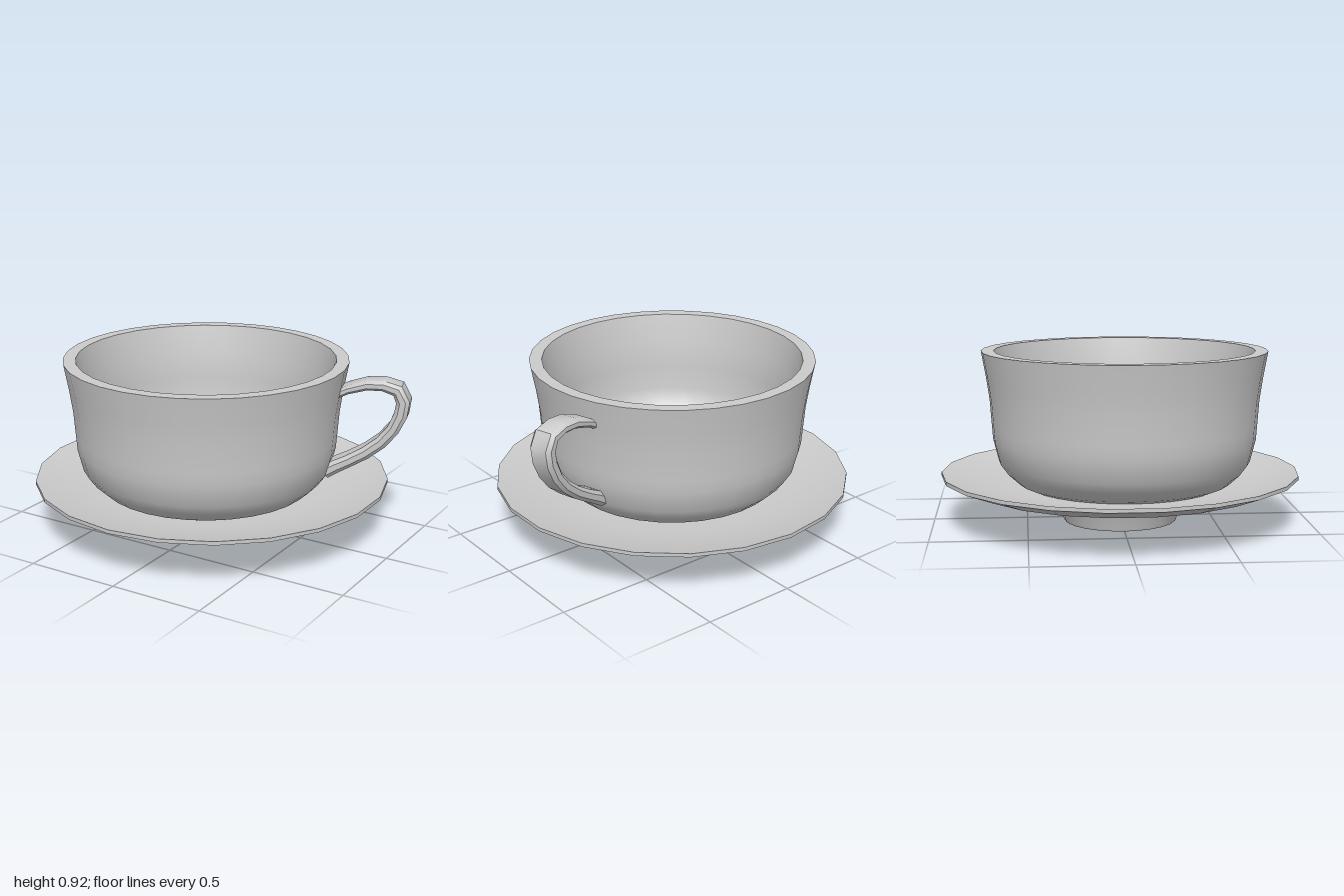
import * as THREE from 'three';
import { toCreasedNormals } from 'three/addons/utils/BufferGeometryUtils.js';

const material = new THREE.MeshStandardMaterial({ color: 0xcccccc });

function part(name, geometry) {
  const mesh = new THREE.Mesh(toCreasedNormals(geometry, 0.7), material);
  mesh.name = name;
  return mesh;
}

// Profile of [radius, height] pairs, running from the underside up, over the rim and back in
function turned(name, profile, segments) {
  const points = profile.map(([r, y]) => new THREE.Vector2(r, y));
  return part(name, new THREE.LatheGeometry(points, segments));
}

// Flat rounded strap swept along a path in the xy plane; path holds [x, y, thickness]
function strap(path, width) {
  const section = [[0.5, 0.22], [0.36, 0.5], [-0.36, 0.5], [-0.5, 0.22],
    [-0.5, -0.22], [-0.36, -0.5], [0.36, -0.5], [0.5, -0.22]];
  const n = section.length;
  const positions = [];
  const index = [];
  path.forEach(([x, y, thickness], i) => {
    const a = path[Math.max(i - 1, 0)];
    const b = path[Math.min(i + 1, path.length - 1)];
    const tangent = new THREE.Vector2(b[0] - a[0], b[1] - a[1]).normalize();
    for (const [u, v] of section) {
      const t = v * thickness;
      positions.push(x - tangent.y * t, y + tangent.x * t, u * width);
    }
    if (i === 0) return;
    for (let j = 0; j < n; j++) {
      const p = (i - 1) * n + j, q = (i - 1) * n + (j + 1) % n;
      index.push(p, q, p + n, q, q + n, p + n);
    }
  });
  // end caps
  const last = (path.length - 1) * n;
  for (let j = 1; j < n - 1; j++) {
    index.push(0, j + 1, j, last, last + j, last + j + 1);
  }
  // make sure the faces point outward
  const geometry = new THREE.BufferGeometry();
  geometry.setAttribute('position', new THREE.Float32BufferAttribute(positions, 3));
  const at = (k) => new THREE.Vector3().fromArray(positions, k * 3);
  let volume = 0;
  for (let k = 0; k < index.length; k += 3) {
    volume += at(index[k]).dot(at(index[k + 1]).cross(at(index[k + 2])));
  }
  geometry.setIndex(volume < 0 ? index.reverse() : index);
  return geometry;
}

export function createModel() {
  const model = new THREE.Group();
  model.name = 'cupAndSaucer';

  // Saucer with a hollow foot ring
  const saucer = turned('saucer', [
    [0, 0.14], [0.285, 0.14], [0.292, 0.005], [0.302, 0], [0.308, 0.012], [0.325, 0.105],
    [0.345, 0.135], [0.4, 0.157], [0.5, 0.17], [0.8, 0.19], [0.955, 0.25],
    [0.955, 0.27], [0.78, 0.222], [0.6, 0.2], [0, 0.2],
  ], 22);
  saucer.position.x = -0.055;
  model.add(saucer);

  // Cup and handle share the cup's own axis
  const cup = new THREE.Group();
  cup.name = 'cup';
  cup.position.set(-0.075, 0, 0.022);
  model.add(cup);

  cup.add(turned('bowl', [
    [0, 0.19], [0.5, 0.19], [0.57, 0.22], [0.63, 0.275], [0.67, 0.33], [0.7, 0.45],
    [0.705, 0.52], [0.715, 0.66], [0.732, 0.78], [0.757, 0.92],
    [0.69, 0.92], [0.658, 0.76], [0.642, 0.62], [0.642, 0.48], [0.615, 0.38],
    [0.55, 0.31], [0.42, 0.27], [0, 0.255],
  ], 32));

  // Ear-shaped handle, set radially and turned a little to the back
  const handle = part('handle', strap([
    [0.7, 0.775, 0.04], [0.765, 0.81, 0.045], [0.865, 0.842, 0.05], [0.95, 0.846, 0.055],
    [1.025, 0.825, 0.065], [1.055, 0.765, 0.07], [1.045, 0.695, 0.07], [1.01, 0.615, 0.065],
    [0.95, 0.54, 0.065], [0.87, 0.475, 0.065], [0.78, 0.42, 0.065], [0.715, 0.385, 0.07],
    [0.66, 0.35, 0.07],
  ], 0.13));
  handle.rotation.y = Math.PI / 11;
  handle.rotation.y = 0.285;
  cup.add(handle);

  return model;
}
